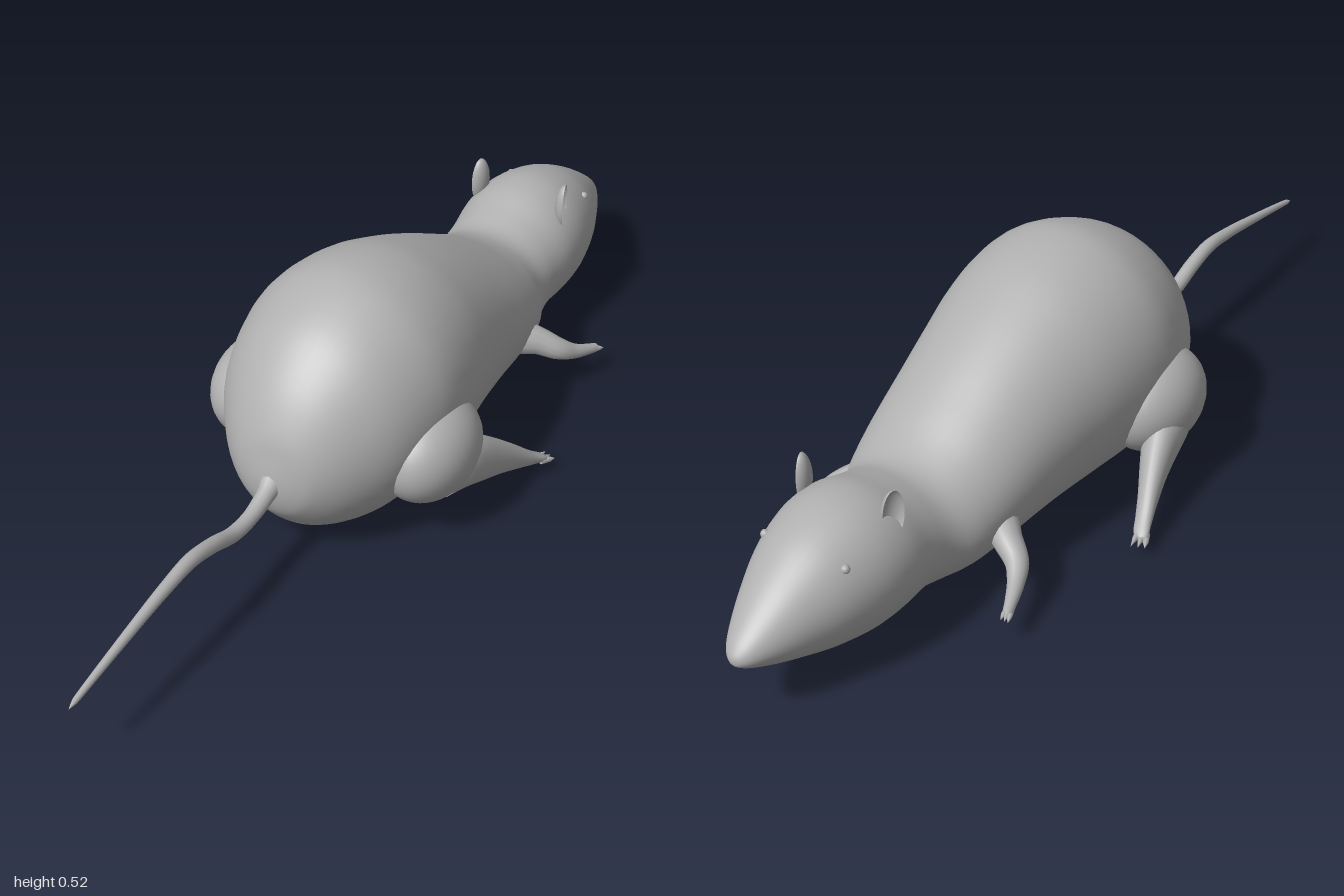
import * as THREE from 'three';

const grey = new THREE.MeshStandardMaterial({ color: 0xb0b0b0, side: THREE.DoubleSide });
grey.name = 'grey';

function add(group, name, geometry) {
  const mesh = new THREE.Mesh(geometry, grey);
  mesh.name = name;
  group.add(mesh);
  return mesh;
}

// Smooth skin over elliptical sections [z, centreX, halfWidth, top, bottom], listed from +z to -z.
function loft(sections, side, steps, sides) {
  const plan = new THREE.CatmullRomCurve3(
    sections.map(([z, cx, w]) => new THREE.Vector3(cx * side, w, z)), false, 'catmullrom');
  const profile = new THREE.CatmullRomCurve3(
    sections.map(([, , , top, bottom]) => new THREE.Vector3(top, bottom, 0)), false, 'catmullrom');
  const positions = [], index = [];
  for (let i = 0; i <= steps; i++) {
    const p = plan.getPoint(i / steps), q = profile.getPoint(i / steps);
    const cy = (q.x + q.y) / 2, ry = (q.x - q.y) / 2;
    for (let j = 0; j < sides; j++) {
      const t = (j / sides) * Math.PI * 2;
      positions.push(p.x + p.y * Math.cos(t), cy + ry * Math.sin(t), p.z);
      if (i < steps) {
        const a = i * sides + j, b = i * sides + (j + 1) % sides;
        index.push(a, a + sides, b, b, a + sides, b + sides);
      }
    }
  }
  const geometry = new THREE.BufferGeometry();
  geometry.setAttribute('position', new THREE.Float32BufferAttribute(positions, 3));
  geometry.setIndex(index);
  geometry.computeVertexNormals();
  return geometry;
}

// Tube through points [x, y, z, radius] whose radius follows the points.
function taperedTube(points, side = 1, steps = 32, sides = 12) {
  const path = new THREE.CatmullRomCurve3(
    points.map(([x, y, z]) => new THREE.Vector3(x * side, y, z)));
  const radii = points.map((p) => p[3]);
  const geometry = new THREE.TubeGeometry(path, steps, 1, sides);
  const pos = geometry.attributes.position, v = new THREE.Vector3();
  for (let i = 0; i <= steps; i++) {
    const centre = path.getPointAt(i / steps);
    const u = path.getUtoTmapping(i / steps) * (radii.length - 1);
    const k = Math.min(Math.floor(u), radii.length - 2);
    const r = THREE.MathUtils.lerp(radii[k], radii[k + 1], u - k);
    for (let j = 0; j <= sides; j++) {
      const n = i * (sides + 1) + j;
      v.fromBufferAttribute(pos, n).sub(centre).multiplyScalar(r).add(centre);
      pos.setXYZ(n, v.x, v.y, v.z);
    }
  }
  return geometry;
}

export function createModel() {
  const model = new THREE.Group();
  model.name = 'rat';

  // Rump, back, neck, head and snout in one skin
  add(model, 'body', loft([
    [0.36, 0, 0, 0.19, 0.18],
    [0.35, 0, 0.05, 0.24, 0.135],
    [0.33, 0, 0.095, 0.305, 0.1],
    [0.28, 0, 0.15, 0.385, 0.048],
    [0.2, 0, 0.205, 0.46, 0.014],
    [0.1, 0, 0.235, 0.506, 0.002],
    [0.02, 0, 0.24, 0.515, 0],
    [-0.08, 0, 0.228, 0.497, 0.005],
    [-0.18, 0, 0.209, 0.456, 0.008],
    [-0.28, 0, 0.193, 0.404, 0.011],
    [-0.38, 0, 0.18, 0.345, 0.014],
    [-0.46, 0, 0.163, 0.299, 0.015],
    [-0.52, 0, 0.14, 0.281, 0.022],
    [-0.58, 0, 0.135, 0.295, 0.035],
    [-0.65, 0, 0.142, 0.318, 0.034],
    [-0.72, 0, 0.138, 0.32, 0.036],
    [-0.8, 0, 0.118, 0.297, 0.052],
    [-0.87, 0, 0.09, 0.258, 0.075],
    [-0.93, 0, 0.062, 0.216, 0.098],
    [-0.975, 0, 0.036, 0.18, 0.119],
    [-0.995, 0, 0.016, 0.158, 0.132],
    [-1, 0, 0, 0.146, 0.142],
  ], 1, 105, 48));

  // Thin wavy tail with a flared root
  add(model, 'tail', taperedTube([
    [0, 0.2, 0.33, 0.03], [0, 0.178, 0.365, 0.019], [0, 0.16, 0.42, 0.016],
    [0, 0.161, 0.48, 0.016], [0, 0.185, 0.55, 0.016], [0, 0.2, 0.62, 0.015],
    [0, 0.194, 0.7, 0.013], [0, 0.173, 0.83, 0.01], [0, 0.145, 0.98, 0.006],
    [0, 0.14, 1, 0],
  ], 1, 72));

  for (const side of [1, -1]) {
    const label = side > 0 ? 'left' : 'right';

    // Rounded thigh
    const thigh = add(model, label + 'Thigh', new THREE.SphereGeometry(1, 32, 24));
    thigh.scale.set(0.097, 0.107, 0.13);
    thigh.position.set(side * 0.198, 0.18, 0.075);

    // Hind leg tapering to a flat foot
    add(model, label + 'HindLeg', loft([
      [0.1, 0.225, 0.05, 0.2, 0.08],
      [0.05, 0.24, 0.05, 0.205, 0.075],
      [0, 0.257, 0.04, 0.185, 0.062],
      [-0.05, 0.275, 0.031, 0.148, 0.052],
      [-0.1, 0.295, 0.023, 0.105, 0.04],
      [-0.14, 0.311, 0.019, 0.068, 0.031],
      [-0.17, 0.323, 0.016, 0.045, 0.026],
      [-0.18, 0.326, 0, 0.037, 0.03],
    ], side, 42, 20));

    // Foreleg bent at the elbow
    add(model, label + 'Foreleg', taperedTube([
      [0.13, 0.14, -0.385, 0.045], [0.18, 0.122, -0.418, 0.03],
      [0.218, 0.1, -0.442, 0.024], [0.238, 0.08, -0.475, 0.017],
      [0.254, 0.066, -0.515, 0.012], [0.262, 0.06, -0.537, 0.01], [0.264, 0.058, -0.543, 0],
    ], side));

    // Three toes on every paw
    for (const k of [-1, 0, 1]) {
      add(model, label + 'HindToe', taperedTube([
        [0.321 + k * 0.009, 0.034, -0.158, 0.007],
        [0.328 + k * 0.012, 0.03, -0.178, 0.006],
        [0.333 + k * 0.013, 0.026, -0.196 + 0.005 * k, 0],
      ], side, 8, 8));
      add(model, label + 'FrontToe', taperedTube([
        [0.258 + k * 0.005, 0.062, -0.525, 0.006],
        [0.263 + k * 0.007, 0.058, -0.542, 0.005],
        [0.266 + k * 0.008, 0.054, -0.554, 0],
      ], side, 8, 8));
    }

    // Small cupped ear opening outward
    const ear = add(model, label + 'Ear', new THREE.SphereGeometry(1, 16, 16, 0, Math.PI));
    ear.scale.set(0.025, 0.053, 0.02);
    ear.rotation.y = -side * Math.PI / 2.4;
    ear.position.set(side * 0.106, 0.302, -0.665);

    // Tiny bead eye
    const eye = add(model, label + 'Eye', new THREE.SphereGeometry(0.009, 12, 8));
    eye.position.set(side * 0.092, 0.255, -0.79);
  }
  return model;
}
